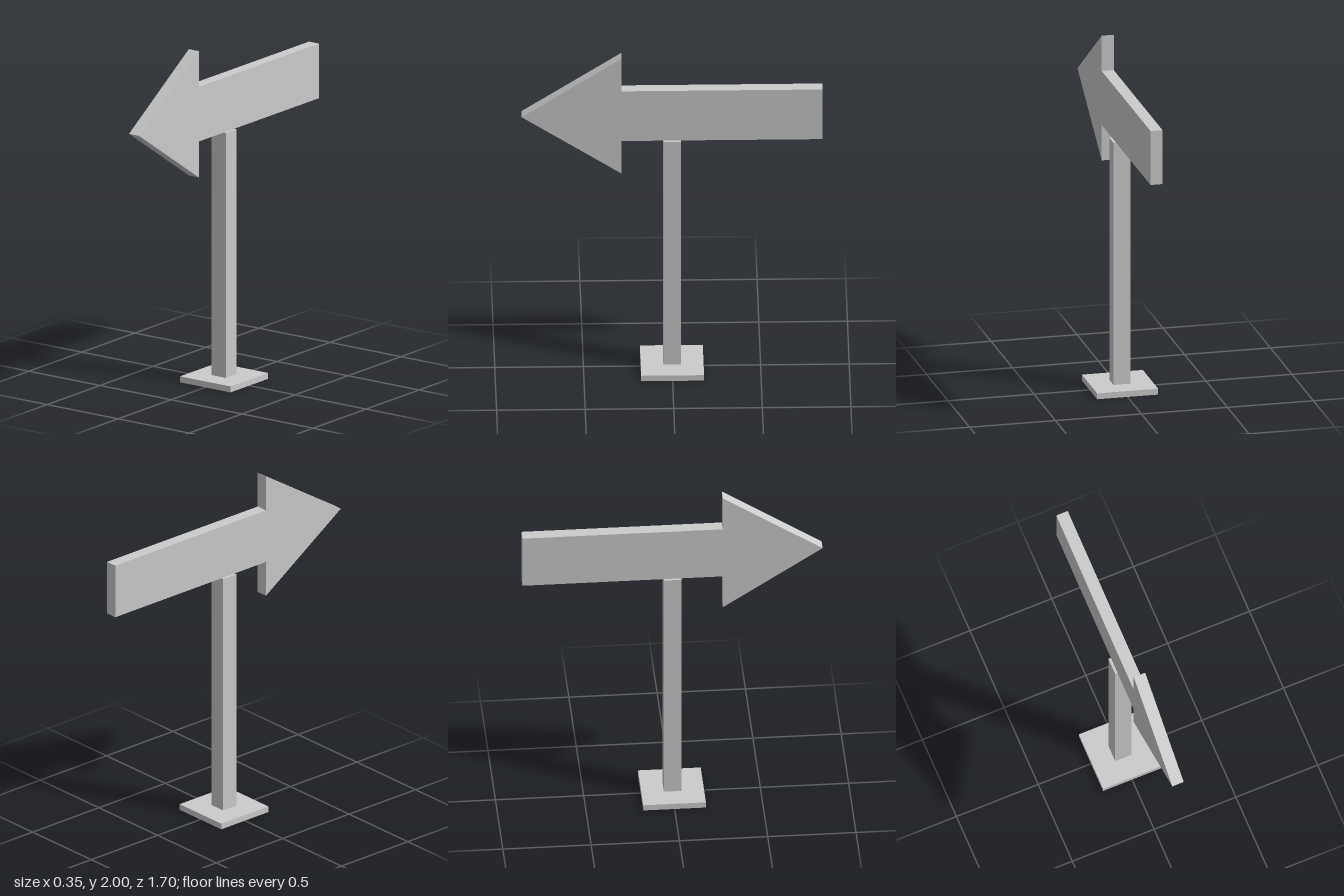
import * as THREE from 'three';

export function createModel() {
  const model = new THREE.Group();
  const grey = new THREE.MeshStandardMaterial({ color: 0xcccccc });
  grey.name = 'light grey';

  const add = (name, geometry, y) => {
    const mesh = new THREE.Mesh(geometry, grey);
    mesh.name = name;
    mesh.position.y = y;
    model.add(mesh);
  };

  // Square foot and post
  const baseHeight = 0.035, postTop = 1.47;
  add('base', new THREE.BoxGeometry(0.355, baseHeight, 0.355), baseHeight / 2);
  add('post', new THREE.BoxGeometry(0.1, postTop - baseHeight, 0.1), (postTop + baseHeight) / 2);

  // Arrow board pointing to the front, outlined as (z, height from its centre line)
  const outline = [
    [-0.85, -0.16], [0.285, -0.16], [0.285, -0.37], [0.85, 0],
    [0.285, 0.37], [0.285, 0.16], [-0.85, 0.16],
  ];
  const thickness = 0.07;
  const arrow = new THREE.ExtrudeGeometry(
    new THREE.Shape(outline.map(([z, y]) => new THREE.Vector2(z, y))),
    { depth: thickness, bevelEnabled: false },
  );
  arrow.translate(0, 0, -thickness / 2).rotateY(-Math.PI / 2);
  add('arrowBoard', arrow, 1.63);

  return model;
}
